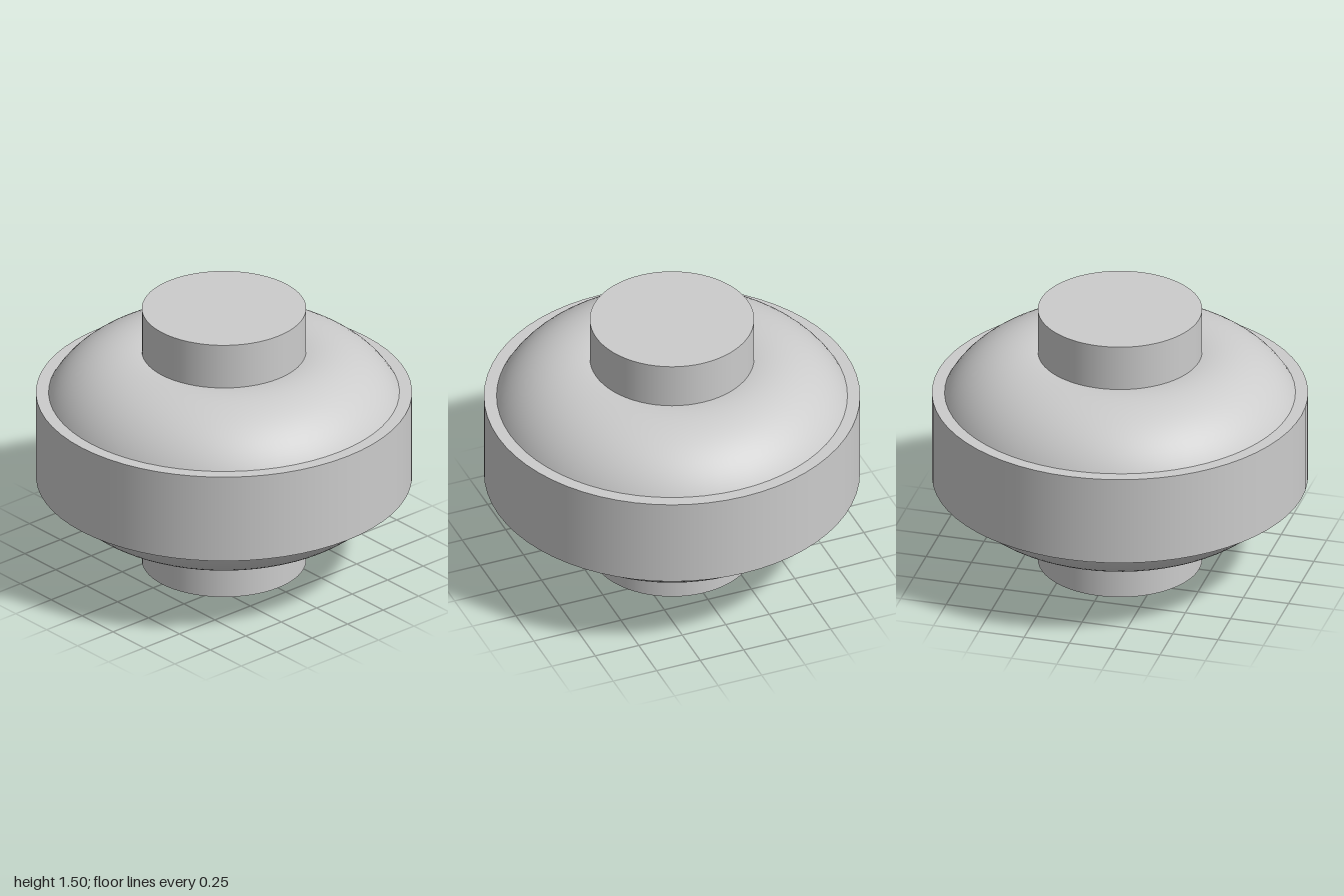
import * as THREE from 'three';

const SEGMENTS = 64;
const MID_Y = 0.75;

export function createModel() {
  const group = new THREE.Group();
  const material = new THREE.MeshStandardMaterial({ color: 0xcccccc });

  const add = (name, geometry, y = MID_Y) => {
    const mesh = new THREE.Mesh(geometry, material);
    mesh.name = name;
    mesh.position.y = y;
    group.add(mesh);
  };

  // Straight shaft running through the full height
  add('shaft', new THREE.CylinderGeometry(0.437, 0.437, 1.5, SEGMENTS));

  // Wide flat-sided band around the middle
  add('outerBand', new THREE.CylinderGeometry(1, 1, 0.5, SEGMENTS));

  // Rounded body: a circular arc whose ends tuck just inside the shaft
  const tube = 0.5, ringRadius = 0.5, end = THREE.MathUtils.degToRad(100);
  const profile = [];
  for (let i = 0; i <= 48; i++) {
    const a = -end + (2 * end * i) / 48;
    profile.push(new THREE.Vector2(ringRadius + tube * Math.cos(a), tube * Math.sin(a)));
  }
  add('roundedBody', new THREE.LatheGeometry(profile, SEGMENTS));

  return group;
}
